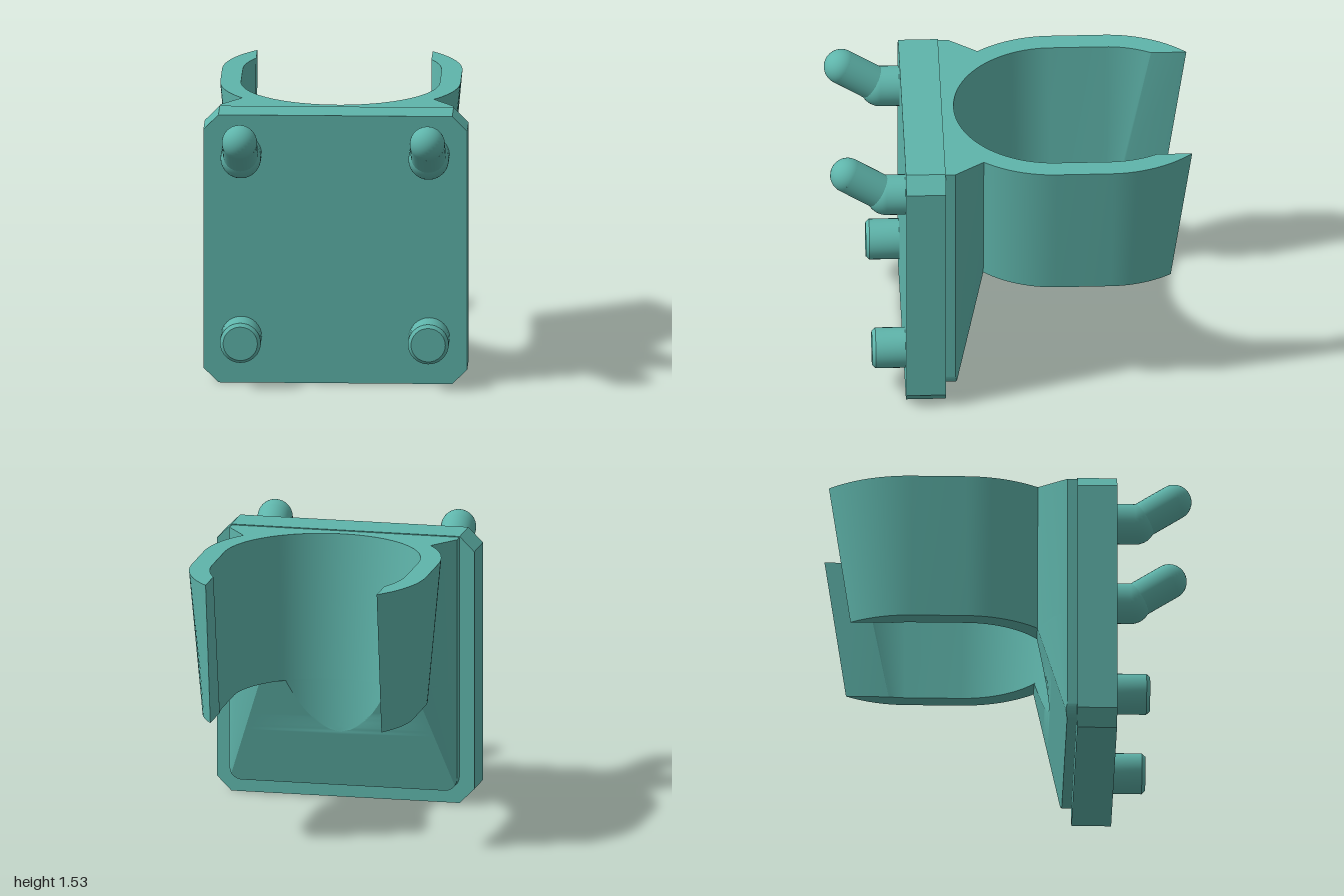
import * as THREE from 'three';
import { toCreasedNormals } from 'three/addons/utils/BufferGeometryUtils.js';

const { lerp, clamp } = THREE.MathUtils;
const Y0 = 0.08, Y1 = 0.70, Y2 = 1.515;   // pad bottom, clip bottom, clip top
const PAD_X = 0.645, PAD_Z = 0.31, NECK_Z = 0.15;
const FRONT_C = -0.25, BACK_C = -0.55, GAP = 0.485, CORNER = 0.07;

// Tapered radii of the clip at height y
const innerR = y => lerp(0.495, 0.55, (y - Y1) / (Y2 - Y1));
const outerR = y => lerp(0.59, 0.665, (y - Y1) / (Y2 - Y1));
const neckX = y => Math.sqrt(outerR(y) ** 2 - (NECK_Z - FRONT_C) ** 2);

// Points [x, z] on an arc round x = 0
function arc(r, cz, a0, a1, n) {
  return Array.from({ length: n + 1 }, (_, i) => {
    const a = lerp(a0, a1, i / n);
    return [r * Math.cos(a), cz + r * Math.sin(a)];
  });
}

const mirrored = half => half.concat(half.map(([x, z]) => [-x, z]).reverse());

// Crease of the folded side face between pad and neck
function crease(y) {
  const t = (y - Y0) / (Y2 - Y0);
  return [lerp(PAD_X, neckX(Y2), t), lerp(PAD_Z, NECK_Z, t)];
}

// Section of clip and bracket
function clipSection(y) {
  const ro = outerR(y), ri = innerR(y);
  return mirrored([
    [PAD_X, PAD_Z], crease(y),
    ...arc(ro, FRONT_C, Math.asin((NECK_Z - FRONT_C) / ro), 0, 12),
    ...arc(ro, BACK_C, 0, -Math.acos(GAP / ro), 14),
    ...arc(ri, BACK_C, -Math.acos(GAP / ri), 0, 10),
    ...arc(ri, FRONT_C, 0, Math.PI / 2, 24),
  ]);
}

// Section of the sloping bracket, scooped by the bore
function gussetSection(y) {
  const t = (y - Y0) / (Y1 - Y0), r = innerR(y);
  const k = clamp((Y0 + CORNER - y) / CORNER, 0, 1);
  const edge = PAD_X - CORNER * (1 - Math.sqrt(1 - k * k));
  const z = lerp(PAD_Z, NECK_Z, t), c = crease(y);
  const h = Math.sqrt(Math.max(0, r * r - (z - FRONT_C) ** 2));
  const half = [[edge, PAD_Z], [Math.min(edge, c[0]), c[1]], [Math.min(edge, lerp(PAD_X, neckX(Y1), t)), z]];
  for (let i = 0; i <= 12; i++) {
    const x = h * (1 - i / 12);
    half.push([x, h > 0 ? FRONT_C + Math.sqrt(r * r - x * x) : z]);
  }
  return mirrored(half);
}

// Skin between horizontal sections, optionally closed and capped
function loft(heights, section, closed) {
  const rings = heights.map(section), n = rings[0].length, pos = [], idx = [];
  rings.forEach((ring, j) => ring.forEach(([x, z]) => pos.push(x, heights[j], z)));
  for (let j = 0; j < rings.length - 1; j++) {
    for (let i = 0; i < (closed ? n : n - 1); i++) {
      const a = j * n + i, b = j * n + (i + 1) % n;
      idx.push(a, b, b + n, a, b + n, a + n);
    }
  }
  if (closed) {
    [0, rings.length - 1].forEach(j => {
      const outline = rings[j].map(([x, z]) => new THREE.Vector2(x, -z));
      THREE.ShapeUtils.triangulateShape(outline, []).forEach(([a, b, c]) => {
        const o = j * n;
        if (j) idx.push(o + a, o + b, o + c);
        else idx.push(o + a, o + c, o + b);
      });
    });
  }
  const g = new THREE.BufferGeometry();
  g.setAttribute('position', new THREE.Float32BufferAttribute(pos, 3));
  g.setIndex(idx);
  return toCreasedNormals(g, 0.45);
}

function slab(shape, z, depth) {
  return new THREE.ExtrudeGeometry(shape, { depth, bevelEnabled: false, curveSegments: 10 }).translate(0, 0, z);
}

export function createModel() {
  const model = new THREE.Group();
  const material = new THREE.MeshStandardMaterial({ color: 0x5fb5ab });
  const add = (name, geometry, parent = model) => {
    const mesh = new THREE.Mesh(geometry, material);
    mesh.name = name;
    parent.add(mesh);
    return mesh;
  };

  // Back plate with cut corners
  const w = 0.73, h = 1.52, c = 0.083;
  const plate = new THREE.Shape([
    [-w + c, 0], [w - c, 0], [w, c], [w, h - c], [w - c, h], [-w + c, h], [-w, h - c], [-w, c],
  ].map(p => new THREE.Vector2(...p)));
  add('plate', slab(plate, 0.365, 0.22));

  // Raised pad, rounded at the bottom
  const pad = new THREE.Shape();
  pad.moveTo(PAD_X, Y2);
  pad.lineTo(-PAD_X, Y2);
  pad.lineTo(-PAD_X, Y0 + CORNER);
  pad.absarc(-PAD_X + CORNER, Y0 + CORNER, CORNER, Math.PI, Math.PI * 1.5);
  pad.absarc(PAD_X - CORNER, Y0 + CORNER, CORNER, -Math.PI / 2, 0);
  add('pad', toCreasedNormals(slab(pad, PAD_Z, 0.055), 0.45));

  // Open clip and its sloping bracket
  add('clip', loft([Y1, Y2], clipSection, true));
  const rows = Array.from({ length: 41 }, (_, i) => lerp(Y0, Y1, i / 40));
  add('bracket', loft(rows, gussetSection, false));

  // Pegs: bent hooks above, short studs below
  for (const side of [1, -1]) {
    const prefix = side > 0 ? 'left' : 'right';
    const hook = new THREE.Group();
    hook.name = prefix + 'Hook';
    hook.position.set(side * 0.52, 1.30, 0);
    const root = new THREE.Vector3(0, 0, 0.69), tip = new THREE.Vector3(0, 0.137, 0.903);
    add('hookBase', new THREE.CylinderGeometry(0.112, 0.112, 0.12, 32, 1).rotateX(Math.PI / 2).translate(0, 0, 0.63), hook);
    add('hookElbow', new THREE.SphereGeometry(0.112, 32, 20), hook).position.copy(root);
    const rod = add('hookRod', new THREE.CylinderGeometry(0.0975, 0.0975, root.distanceTo(tip), 32, 1), hook);
    rod.position.copy(root).lerp(tip, 0.5);
    rod.quaternion.setFromUnitVectors(new THREE.Vector3(0, 1, 0), tip.clone().sub(root).normalize());
    add('hookTip', new THREE.SphereGeometry(0.0975, 32, 20), hook).position.copy(tip);
    model.add(hook);

    const profile = [[0.113, 0], [0.113, 0.17], [0.095, 0.19], [0, 0.19]].map(p => new THREE.Vector2(...p));
    const stud = toCreasedNormals(new THREE.LatheGeometry(profile, 32).rotateX(Math.PI / 2), 0.45);
    add(prefix + 'Stud', stud).position.set(side * 0.52, 0.263, 0.58);
  }
  return model;
}
